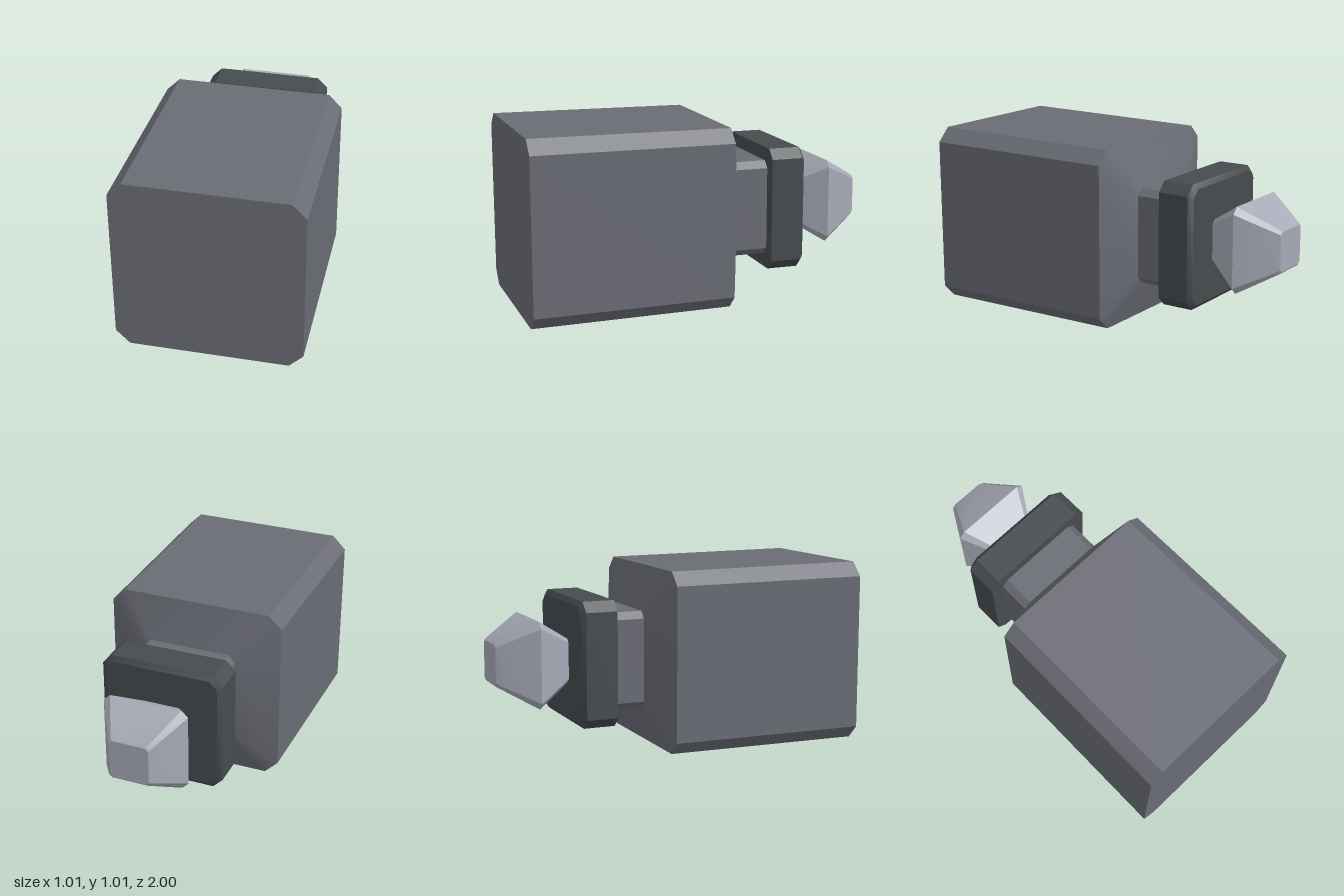
import * as THREE from 'three';
import { toCreasedNormals } from 'three/addons/utils/BufferGeometryUtils.js';

const CENTRE_Y = 0.507;

// Square ring with cut corners, counter-clockwise seen from +z
function ring([z, half, cut]) {
  const h = half, k = half - cut;
  return [[h, -k], [h, k], [k, h], [-k, h], [-h, k], [-h, -k], [-k, -h], [k, -h]]
    .map(([x, y]) => [x, y, z]);
}

// Solid through sections [z, half width, corner cut], listed from front to back
function loft(sections) {
  const rings = sections.map(ring);
  const pos = [];
  const tri = (a, b, c) => pos.push(...a, ...b, ...c);
  for (let i = 0; i < rings.length - 1; i++) {
    for (let j = 0; j < 8; j++) {
      const n = (j + 1) % 8;
      const a = rings[i][j], b = rings[i][n], c = rings[i + 1][j], d = rings[i + 1][n];
      tri(a, c, b);
      tri(b, c, d);
    }
  }
  const first = rings[0], last = rings[rings.length - 1];
  for (let j = 1; j < 7; j++) {
    tri(first[0], first[j], first[j + 1]);
    tri(last[0], last[j + 1], last[j]);
  }
  const geometry = new THREE.BufferGeometry();
  geometry.setAttribute('position', new THREE.Float32BufferAttribute(pos, 3));
  return toCreasedNormals(geometry, 0.5);
}

function material(name, color) {
  const m = new THREE.MeshStandardMaterial({ color });
  m.name = name;
  return m;
}

export function createModel() {
  const group = new THREE.Group();
  group.name = 'squareBottle';
  const glass = material('slate grey', 0x6a6c75);
  const dark = material('dark grey', 0x464b4e);
  const pale = material('pale grey', 0xa6aab6);

  const add = (name, mat, sections) => {
    const mesh = new THREE.Mesh(loft(sections), mat);
    mesh.name = name;
    mesh.position.y = CENTRE_Y;
    group.add(mesh);
  };

  // Body with sloped shoulder and neck
  add('bodyAndNeck', glass, [
    [1, 0.506, 0.076], [-0.115, 0.498, 0.073], [-0.21, 0.268, 0.038], [-0.4, 0.268, 0.038],
  ]);
  // Collar with a bevelled outer rim
  add('collar', dark, [
    [-0.393, 0.344, 0.054], [-0.57, 0.344, 0.054], [-0.592, 0.318, 0.045],
  ]);
  // Faceted stopper
  add('stopper', pale, [
    [-0.585, 0.115, 0.018], [-0.785, 0.238, 0.036], [-0.99, 0.12, 0.018], [-1, 0.11, 0.017],
  ]);
  return group;
}
